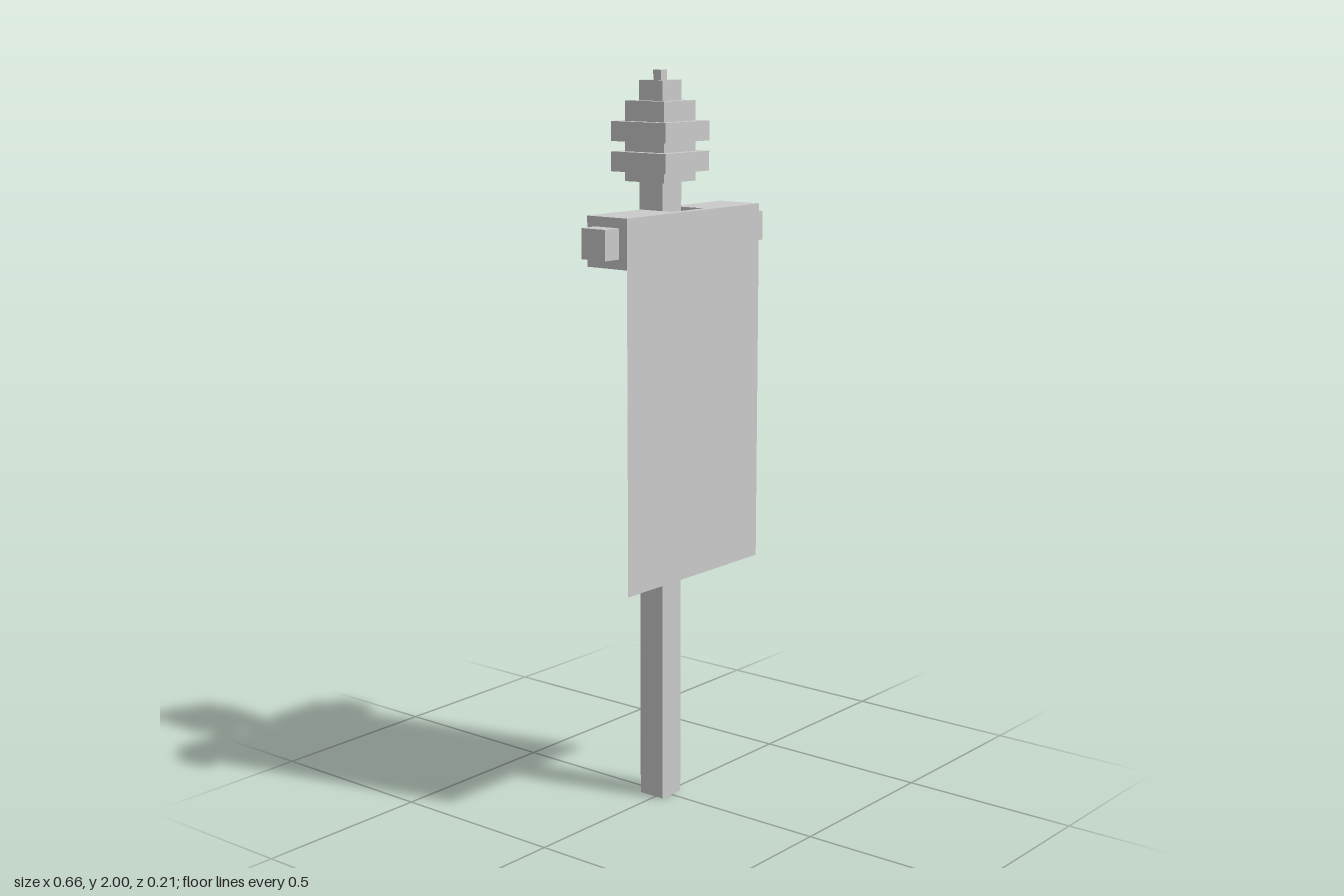
import * as THREE from 'three';

export function createModel() {
  const group = new THREE.Group();
  const mat = new THREE.MeshStandardMaterial({ color: 0xcccccc, flatShading: true });
  const clothMat = new THREE.MeshStandardMaterial({ color: 0xcccccc, side: THREE.DoubleSide });
  const poleZ = -0.014;

  const add = (name, geometry, material = mat) => {
    const mesh = new THREE.Mesh(geometry, material);
    mesh.name = name;
    group.add(mesh);
    return mesh;
  };
  const box = (name, w, d, y0, y1, z) =>
    add(name, new THREE.BoxGeometry(w, y1 - y0, d)).position.set(0, (y0 + y1) / 2, z);

  // Square pole
  box('pole', 0.079, 0.079, 0, 1.711, poleZ);

  // Stacked square finial: width, bottom, top
  [
    [0.132, 1.711, 1.737],
    [0.184, 1.737, 1.789],
    [0.132, 1.789, 1.816],
    [0.184, 1.816, 1.868],
    [0.132, 1.868, 1.921],
    [0.079, 1.921, 1.974],
    [0.026, 1.974, 2.0],
  ].forEach(([w, y0, y1], i) => box(`finialTier${i + 1}`, w, w, y0, y1, poleZ));

  // Crossbar
  box('crossbar', 0.664, 0.079, 1.534, 1.613, 0.039);

  // Sleeve around the crossbar, notched at the back for the pole (plan outline, y = -z)
  const plan = [
    [-0.279, -0.105], [0.279, -0.105], [0.279, 0.027], [0.066, 0.027],
    [0.066, -0.079], [-0.066, -0.079], [-0.066, 0.027], [-0.279, 0.027],
  ].map(([x, y]) => new THREE.Vector2(x, y));
  const sleeve = new THREE.ExtrudeGeometry(new THREE.Shape(plan), { depth: 0.131, bevelEnabled: false });
  sleeve.rotateX(-Math.PI / 2);
  add('bannerSleeve', sleeve).position.y = 1.508;

  // Hanging cloth, flush with the front of the sleeve
  add('bannerCloth', new THREE.PlaneGeometry(0.558, 0.857), clothMat).position.set(0, 1.0795, 0.105);

  return group;
}
